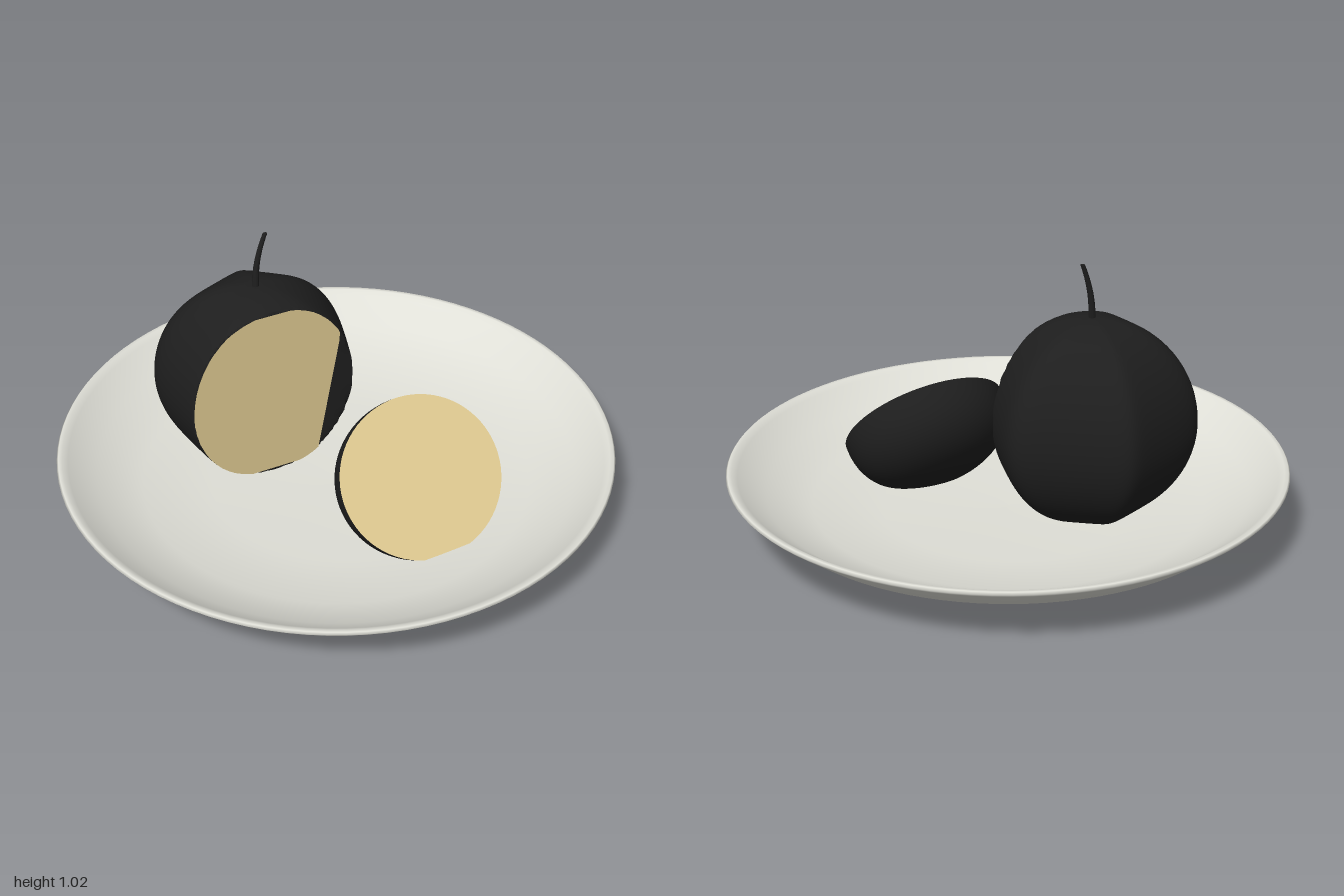
import * as THREE from 'three';
import { toCreasedNormals } from 'three/addons/utils/BufferGeometryUtils.js';

const glaze = new THREE.MeshStandardMaterial({ color: 0xdfdfd7 });
glaze.name = 'pale glaze';
const skin = new THREE.MeshStandardMaterial({ color: 0x1e1e1e });
skin.name = 'dark skin';
const flesh = new THREE.MeshStandardMaterial({ color: 0xdfca91 });
flesh.name = 'cream flesh';

const TURN = 0.291;        // both cuts face slightly to the left of front
const CUT = 0.147;         // distance of the big cut from the fruit's axis
const CUT_ANGLE = Math.PI / 2 - TURN;
const CENTRE = new THREE.Vector3(-0.255, 0.43, -0.18);
const UPPER = 0.388, LOWER = 0.36;

// flattened sides of the fruit: direction in degrees, distance
const SIDES = [[0, 0.34], [-68.5, 0.316], [-128, 0.322], [155, 0.331]];

function mesh(name, geometry, material) {
  const m = new THREE.Mesh(geometry, material);
  m.name = name;
  return m;
}

// move every vertex by a rule
function reshape(geometry, rule) {
  const p = geometry.attributes.position, v = new THREE.Vector3();
  for (let i = 0; i < p.count; i++) {
    rule(v.fromBufferAttribute(p, i));
    p.setXYZ(i, v.x, v.y, v.z);
  }
  geometry.computeVertexNormals();
  return geometry;
}

// rounded, side-flattened outline around the fruit's axis
function outline(angle) {
  const power = 24;
  let sum = Math.pow(1 / 0.374, power);
  for (const [deg, d] of SIDES) {
    const c = Math.cos(angle - THREE.MathUtils.degToRad(deg));
    if (c > 0) sum += Math.pow(c / d, power);
  }
  return Math.pow(sum, -1 / power);
}

function makePlate() {
  const profile = [
    [0, 0.03], [0.42, 0.03], [0.72, 0.06], [0.87, 0.122], [0.99, 0.213],
    [1, 0.224], [0.994, 0.232], [0.98, 0.232], [0.96, 0.218],
    [0.86, 0.145], [0.7, 0.085], [0.45, 0.055], [0, 0.05],
  ].map(([x, y]) => new THREE.Vector2(x, y));
  return mesh('plate', new THREE.LatheGeometry(profile, 96), glaze);
}

function makeFruit() {
  const group = new THREE.Group();
  group.name = 'cutFruit';
  group.position.copy(CENTRE);

  // body, sliced flat at the front
  const body = reshape(new THREE.SphereGeometry(1, 160, 64), (v) => {
    const s = Math.hypot(v.x, v.z), angle = Math.atan2(v.z, v.x);
    let r = s * outline(angle);
    const c = Math.cos(angle - CUT_ANGLE);
    if (c > 0) r = Math.min(r, CUT / c);
    v.set(r * Math.cos(angle), v.y * (v.y > 0 ? UPPER : LOWER), r * Math.sin(angle));
  });
  group.add(mesh('fruitBody', toCreasedNormals(body, 0.5), skin));

  // half width of the cut at height y, to one side
  const edge = (y, side) => {
    const k = y / (y > 0 ? UPPER : LOWER);
    const s = Math.sqrt(Math.max(0, 1 - k * k));
    let t = 0;
    while (Math.hypot(t + 0.002, CUT) <
      s * outline(CUT_ANGLE - side * Math.atan2(t + 0.002, CUT))) t += 0.002;
    return side * t;
  };

  // flesh, with a straight dark margin on one side
  const left = [], right = [];
  for (let i = 0; i <= 48; i++) {
    const y = -0.318 + (0.668 * (1 - Math.cos((Math.PI * i) / 48))) / 2;
    const margin = 0.254 - 0.19 * Math.max(0, 0.17 - y);
    left.push(new THREE.Vector2(edge(y, -1), y));
    right.push(new THREE.Vector2(Math.min(edge(y, 1), margin) + 0.0005, y));
  }
  const cut = mesh('fruitFlesh',
    new THREE.ShapeGeometry(new THREE.Shape([...right, ...left.reverse()])), flesh);
  cut.rotation.y = TURN;
  cut.position.set(Math.sin(TURN), 0, Math.cos(TURN)).multiplyScalar(CUT + 0.003);
  group.add(cut);

  // bent, tapering stem
  const stem = reshape(new THREE.CylinderGeometry(0.008, 0.013, 0.205, 12, 12), (v) => {
    const t = v.y / 0.205 + 0.5;
    v.x += 0.04 * t * t;
    v.z -= 0.018 * t - 0.006;
  });
  stem.translate(0, 0.483, 0);
  group.add(mesh('stem', toCreasedNormals(stem, 0.9), skin));
  return group;
}

function makeHalf() {
  const group = new THREE.Group();
  group.name = 'fruitSlice';
  const a = 0.305, b = 0.289, depth = 0.233, power = 2.4;

  // rounded back
  const back = new THREE.SphereGeometry(1, 72, 28, 0, Math.PI * 2, Math.PI / 2, Math.PI / 2);
  back.rotateX(Math.PI / 2);
  reshape(back, (v) => {
    const s = Math.hypot(v.x, v.y);
    const k = Math.pow(Math.pow(s, power) + Math.pow(Math.abs(v.z), power), -1 / power);
    v.set(v.x * k * a, v.y * k * b, v.z * k * depth);
  });
  group.add(mesh('sliceSkin', toCreasedNormals(back, 0.7), skin));

  // flat flesh
  const face = new THREE.CircleGeometry(1, 72);
  face.scale(a, b, 1);
  group.add(mesh('sliceFlesh', face, flesh));

  // lean back, then turn
  group.rotation.set(-0.706, TURN, 0, 'YXZ');
  group.position.set(0.25, 0.28, 0.31);
  return group;
}

export function createModel() {
  const model = new THREE.Group();
  model.name = 'fruitPlate';
  model.add(makePlate(), makeFruit(), makeHalf());
  return model;
}
